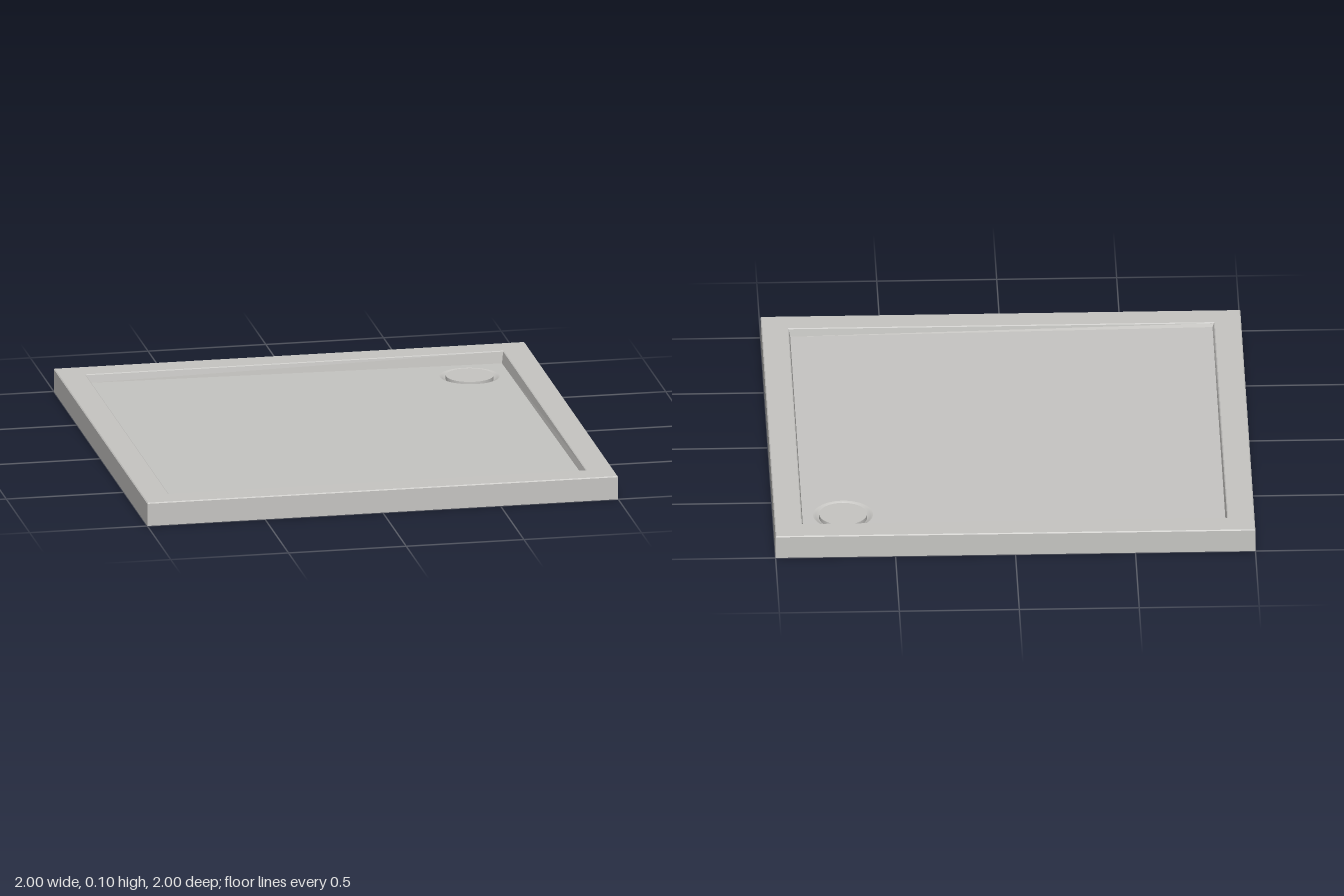
import * as THREE from 'three';

const DRAIN = { x: 0.71, z: -0.715, r: 0.125 };
const SEGMENTS = 48;

// The floor falls gently towards the drain corner.
const floorY = (x, z) => 0.065 - 0.017 * (x - z) / 1.76;

// Square shell swept through [halfWidth, height] steps, with flat faces.
function squareShell(steps) {
  const corners = [[1, 1], [1, -1], [-1, -1], [-1, 1]];
  const point = ([half, y], [sx, sz]) => {
    const x = half * sx, z = half * sz;
    return [x, typeof y === 'function' ? y(x, z) : y, z];
  };
  const positions = [];
  for (let i = 0; i < steps.length - 1; i++) {
    for (let k = 0; k < 4; k++) {
      const next = corners[(k + 1) % 4];
      const a = point(steps[i], corners[k]), b = point(steps[i], next);
      const c = point(steps[i + 1], next), d = point(steps[i + 1], corners[k]);
      positions.push(...a, ...b, ...c, ...a, ...c, ...d);
    }
  }
  const geometry = new THREE.BufferGeometry();
  geometry.setAttribute('position', new THREE.Float32BufferAttribute(positions, 3));
  geometry.computeVertexNormals();
  return geometry;
}

// Square floor with a round opening for the drain, tilted by floorY.
function floorGeometry(half) {
  const shape = new THREE.Shape([
    new THREE.Vector2(-half, -half), new THREE.Vector2(half, -half),
    new THREE.Vector2(half, half), new THREE.Vector2(-half, half),
  ]);
  const hole = [];
  for (let i = 0; i < SEGMENTS; i++) {
    const a = -i / SEGMENTS * Math.PI * 2;
    hole.push(new THREE.Vector2(DRAIN.x + DRAIN.r * Math.cos(a), -DRAIN.z + DRAIN.r * Math.sin(a)));
  }
  shape.holes.push(new THREE.Path(hole));
  const geometry = new THREE.ShapeGeometry(shape).rotateX(-Math.PI / 2);
  const p = geometry.attributes.position;
  for (let i = 0; i < p.count; i++) p.setY(i, floorY(p.getX(i), p.getZ(i)));
  geometry.computeVertexNormals();
  return geometry;
}

// Shallow dish whose rim meets the tilted floor.
function dishGeometry() {
  const profile = [[DRAIN.r, 0], [0.115, -0.004], [0.105, -0.014], [0.095, -0.018], [0, -0.018]];
  const geometry = new THREE.LatheGeometry(profile.map(([r, y]) => new THREE.Vector2(r, y)), SEGMENTS);
  geometry.translate(DRAIN.x, 0, DRAIN.z);
  const p = geometry.attributes.position;
  for (let i = 0; i < p.count; i++) p.setY(i, p.getY(i) + floorY(p.getX(i), p.getZ(i)));
  geometry.computeVertexNormals();
  return geometry;
}

export function createModel() {
  const model = new THREE.Group();
  model.name = 'showerTray';
  const enamel = new THREE.MeshStandardMaterial({ color: 0xc6c5c2, side: THREE.DoubleSide });
  enamel.name = 'warm grey enamel';

  const add = (name, geometry) => {
    const mesh = new THREE.Mesh(geometry, enamel);
    mesh.name = name;
    model.add(mesh);
    return mesh;
  };

  // Outer skirt, open underneath, with a small eased top edge
  add('skirt', squareShell([[1, 0], [1, 0.096], [0.996, 0.1]]));
  // Flat rim around the basin
  add('rim', squareShell([[0.996, 0.1], [0.89, 0.1]]));
  // Basin walls down to the sloping floor
  add('basinWall', squareShell([[0.89, 0.1], [0.886, 0.097], [0.88, floorY]]));
  add('basinFloor', floorGeometry(0.88));
  add('drainDish', dishGeometry());

  // Round drain cover standing in the dish
  const cover = add('drainCover', new THREE.CylinderGeometry(0.1, 0.1, 0.018, SEGMENTS));
  cover.position.set(DRAIN.x, 0.046, DRAIN.z);

  return model;
}
